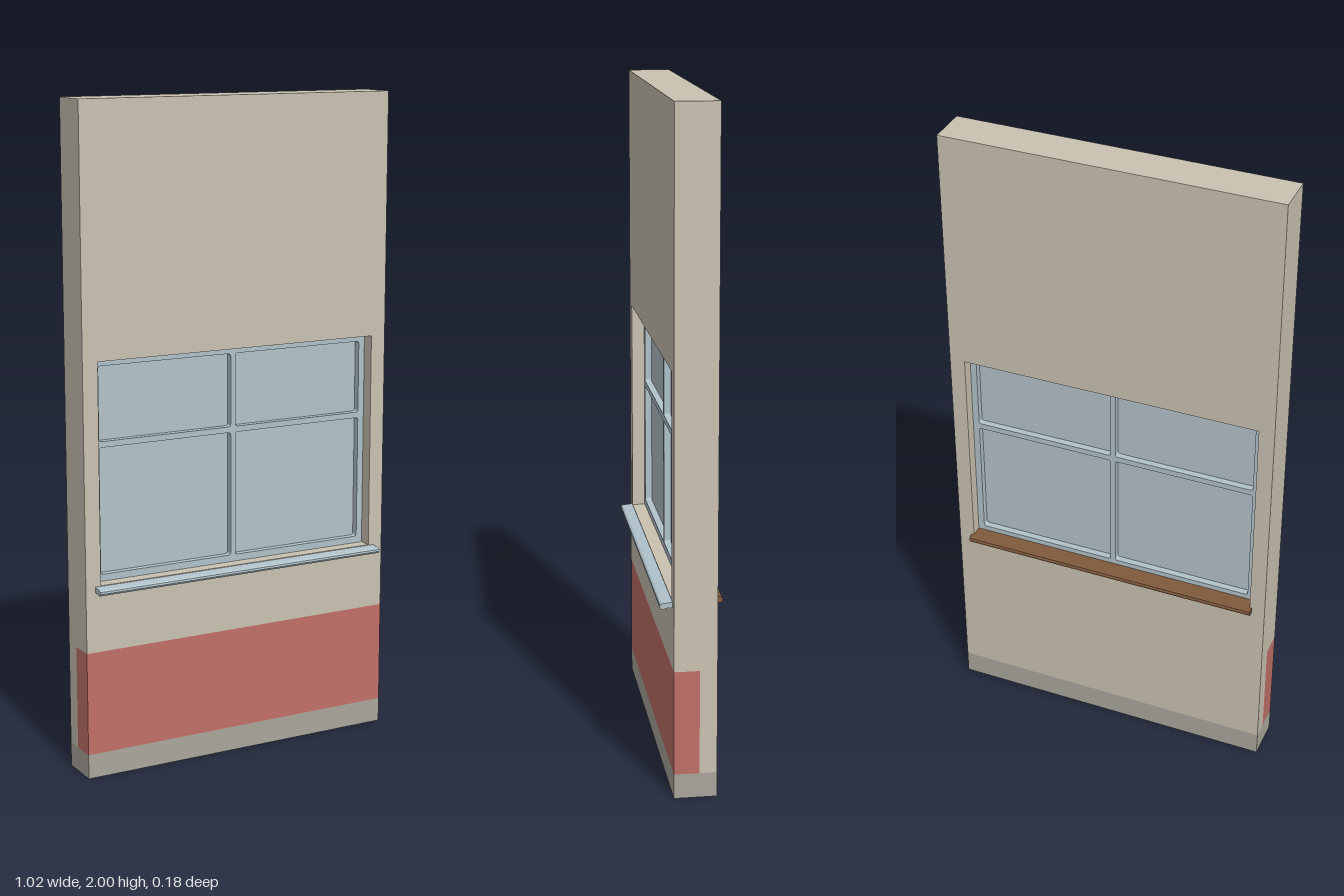
import * as THREE from 'three';

const paint = (name, color) => {
  const m = new THREE.MeshStandardMaterial({ color });
  m.name = name;
  return m;
};

// Rectangle with optionally rounded corners, drawn on a Shape or a Path
function rect(path, x0, y0, x1, y1, r = 0) {
  path.moveTo(x0 + r, y0);
  path.lineTo(x1 - r, y0);
  if (r) path.quadraticCurveTo(x1, y0, x1, y0 + r);
  path.lineTo(x1, y1 - r);
  if (r) path.quadraticCurveTo(x1, y1, x1 - r, y1);
  path.lineTo(x0 + r, y1);
  if (r) path.quadraticCurveTo(x0, y1, x0, y1 - r);
  path.lineTo(x0, y0 + r);
  if (r) path.quadraticCurveTo(x0, y0, x0 + r, y0);
  return path;
}

export function createModel() {
  const model = new THREE.Group();
  model.name = 'wallWithWindow';

  const plaster = paint('plaster', 0xcac2b2);
  const brick = paint('red band', 0xc07068);
  const stone = paint('plinth grey', 0xaaa69d);
  const frameBlue = paint('frame pale blue', 0xb1c3cb);
  const glass = paint('glass', 0xb3c2c9);
  const wood = paint('brown wood', 0x80593c);

  const add = (name, geometry, material) => {
    const mesh = new THREE.Mesh(geometry, material);
    mesh.name = name;
    model.add(mesh);
    return mesh;
  };
  const block = (name, material, x0, x1, y0, y1, z0, z1) => {
    const g = new THREE.BoxGeometry(x1 - x0, y1 - y0, z1 - z0);
    g.translate((x0 + x1) / 2, (y0 + y1) / 2, (z0 + z1) / 2);
    return add(name, g, material);
  };
  // Shape in x and y, pushed from z0 to z1
  const slab = (name, material, shape, z0, z1) => {
    const g = new THREE.ExtrudeGeometry(shape, { depth: z1 - z0, bevelEnabled: false, curveSegments: 4 });
    g.translate(0, 0, z0);
    return add(name, g, material);
  };
  // Profile of [z, y] points, run along x between -half and half
  const moulding = (name, material, points, half) => {
    const shape = new THREE.Shape(points.map(([z, y]) => new THREE.Vector2(-z, y)));
    const g = new THREE.ExtrudeGeometry(shape, { depth: 2 * half, bevelEnabled: false });
    g.translate(0, 0, -half);
    g.rotateY(Math.PI / 2);
    return add(name, g, material);
  };

  const W = 0.512, back = -0.071, front = 0.055;
  const win = { x: 0.464, y0: 0.592, y1: 1.257 };

  // Wall, with the window opening cut through
  const wall = rect(new THREE.Shape(), -W, 0.39, W, 2);
  wall.holes.push(rect(new THREE.Path(), -win.x, win.y0, win.x, win.y1));
  slab('wall', plaster, wall, back, front);

  // Wall foot: plinth, red band on the outer half, plaster behind it
  block('plinth', stone, -W, W, 0, 0.075, back, front);
  block('redBand', brick, -W, W, 0.075, 0.39, -0.02, front);
  block('innerWallFoot', plaster, -W, W, 0.075, 0.39, back, -0.02);

  // Window frame with four panes
  const frame = rect(new THREE.Shape(), -win.x, win.y0, win.x, win.y1);
  for (const [x0, x1] of [[-0.444, -0.008], [0.008, 0.444]]) {
    for (const [y0, y1] of [[0.613, 0.995], [1.013, 1.236]]) {
      frame.holes.push(rect(new THREE.Path(), x0, y0, x1, y1, 0.008));
      block('pane', glass, x0, x1, y0, y1, -0.014, -0.006);
    }
  }
  slab('windowFrame', frameBlue, frame, -0.035, 0.015);

  // Outer sill with a rounded nose and a drip edge
  moulding('outerSill', frameBlue, [
    [front, 0.59], [0.085, 0.587], [0.091, 0.583], [0.092, 0.577],
    [0.088, 0.571], [0.08, 0.569], [0.074, 0.573], [front, 0.573],
  ], 0.482);

  // Inner sill board: nose beyond the wall, and the part lying in the opening
  moulding('innerSillNose', wood, [
    [back, 0.579], [-0.086, 0.579], [-0.091, 0.582], [-0.092, 0.588],
    [-0.09, 0.594], [-0.085, 0.597], [back, 0.597],
  ], 0.471);
  block('innerSillBoard', wood, -win.x, win.x, 0.585, 0.597, back, -0.035);

  return model;
}
